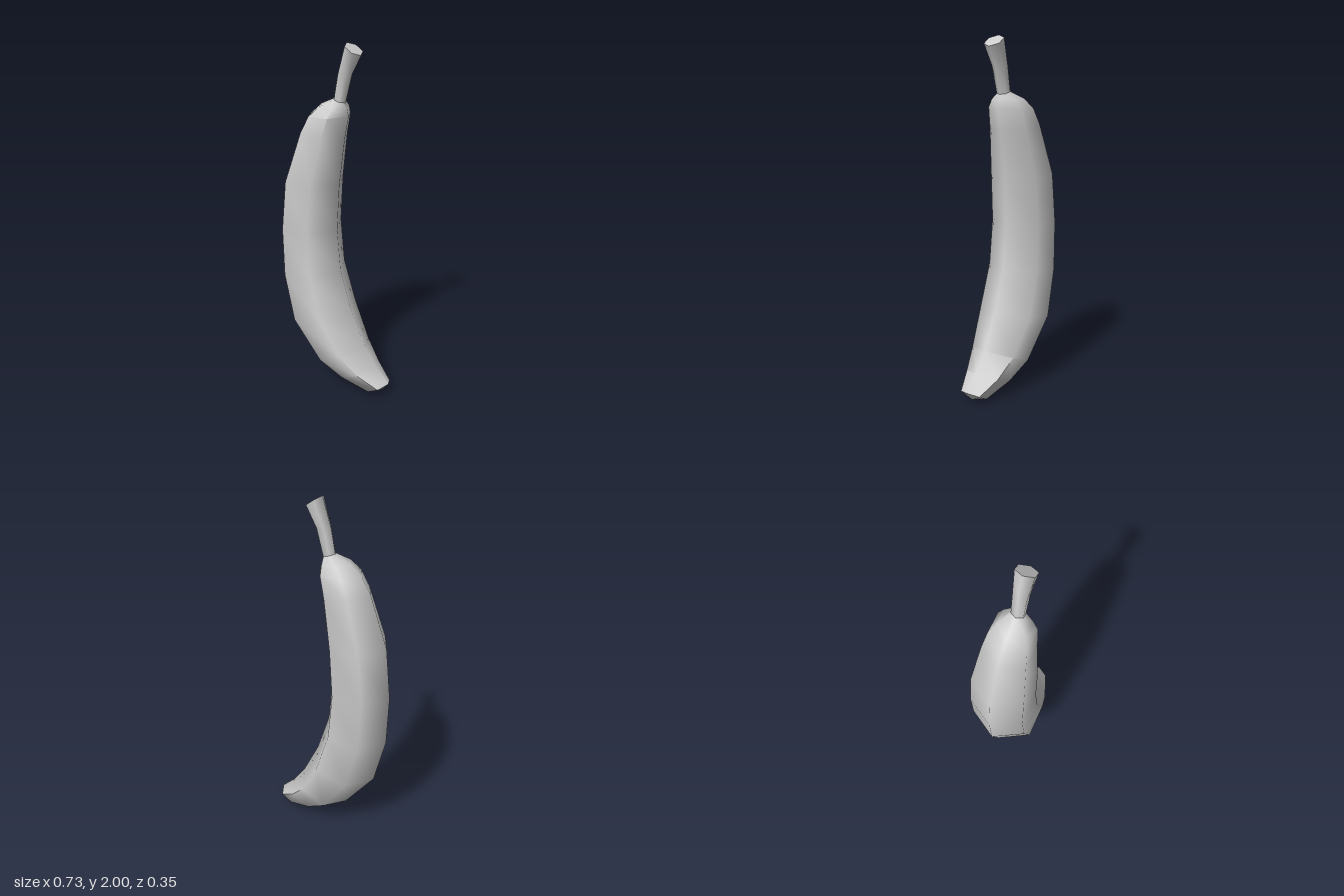
import * as THREE from 'three';
import { toCreasedNormals } from 'three/addons/utils/BufferGeometryUtils.js';

const SIDES = 6;

// Each ring: outer ridge x, y, inner ridge x, y, half depth in z
const stemRings = [
  [0.055, 2.0, 0.145, 1.94, 0.05],
  [0.005, 1.84, 0.09, 1.84, 0.037],
  [-0.02, 1.71, 0.05, 1.69, 0.033],
];
const fruitRings = [
  stemRings[2],
  [-0.11, 1.67, 0.06, 1.66, 0.078],
  [-0.18, 1.61, 0.07, 1.62, 0.107],
  [-0.23, 1.53, 0.045, 1.49, 0.122],
  [-0.335, 1.24, 0.01, 1.23, 0.154],
  [-0.365, 0.95, -0.005, 0.96, 0.16],
  [-0.355, 0.66, 0.02, 0.71, 0.167],
  [-0.285, 0.38, 0.1, 0.47, 0.175],
  [-0.1, 0.14, 0.2, 0.27, 0.145],
  [0.05, 0.06, 0.28, 0.16, 0.11],
  [0.235, 0.005, 0.365, 0.08, 0.065],
];

// Skin a stack of hexagonal rings from top to bottom, with optional end caps
function skinRings(rings, topCentre, bottomCentre) {
  const positions = [];
  const index = [];
  for (const [ox, oy, ix, iy, depth] of rings) {
    for (let k = 0; k < SIDES; k++) {
      const a = (k / SIDES) * Math.PI * 2;
      const u = (1 - Math.cos(a)) / 2;
      const z = (depth * Math.sin(a)) / Math.sin(Math.PI / 3);
      positions.push(ox + (ix - ox) * u, oy + (iy - oy) * u, z);
    }
  }
  const at = (i, k) => i * SIDES + (k % SIDES);
  const last = rings.length - 1;
  for (let i = 0; i < last; i++) {
    for (let k = 0; k < SIDES; k++) {
      const a = at(i, k), b = at(i, k + 1), c = at(i + 1, k), d = at(i + 1, k + 1);
      index.push(a, c, d, a, d, b);
    }
  }
  if (topCentre) {
    const c = positions.push(...topCentre) / 3 - 1;
    for (let k = 0; k < SIDES; k++) index.push(c, at(0, k), at(0, k + 1));
  }
  if (bottomCentre) {
    const c = positions.push(...bottomCentre) / 3 - 1;
    for (let k = 0; k < SIDES; k++) index.push(c, at(last, k + 1), at(last, k));
  }
  const geometry = new THREE.BufferGeometry();
  geometry.setAttribute('position', new THREE.Float32BufferAttribute(positions, 3));
  geometry.setIndex(index);
  return toCreasedNormals(geometry, THREE.MathUtils.degToRad(65));
}

export function createModel() {
  const group = new THREE.Group();
  group.name = 'banana';
  const material = new THREE.MeshStandardMaterial({ color: 0xcccccc });

  // Flared stem with a flat cut end
  const stem = new THREE.Mesh(skinRings(stemRings, [0.1, 1.97, 0], null), material);
  stem.name = 'stem';

  // Curved fruit ending in a blunt, slightly domed tip
  const fruit = new THREE.Mesh(skinRings(fruitRings, null, [0.32, 0.025, 0]), material);
  fruit.name = 'fruit';

  group.add(stem, fruit);
  return group;
}
